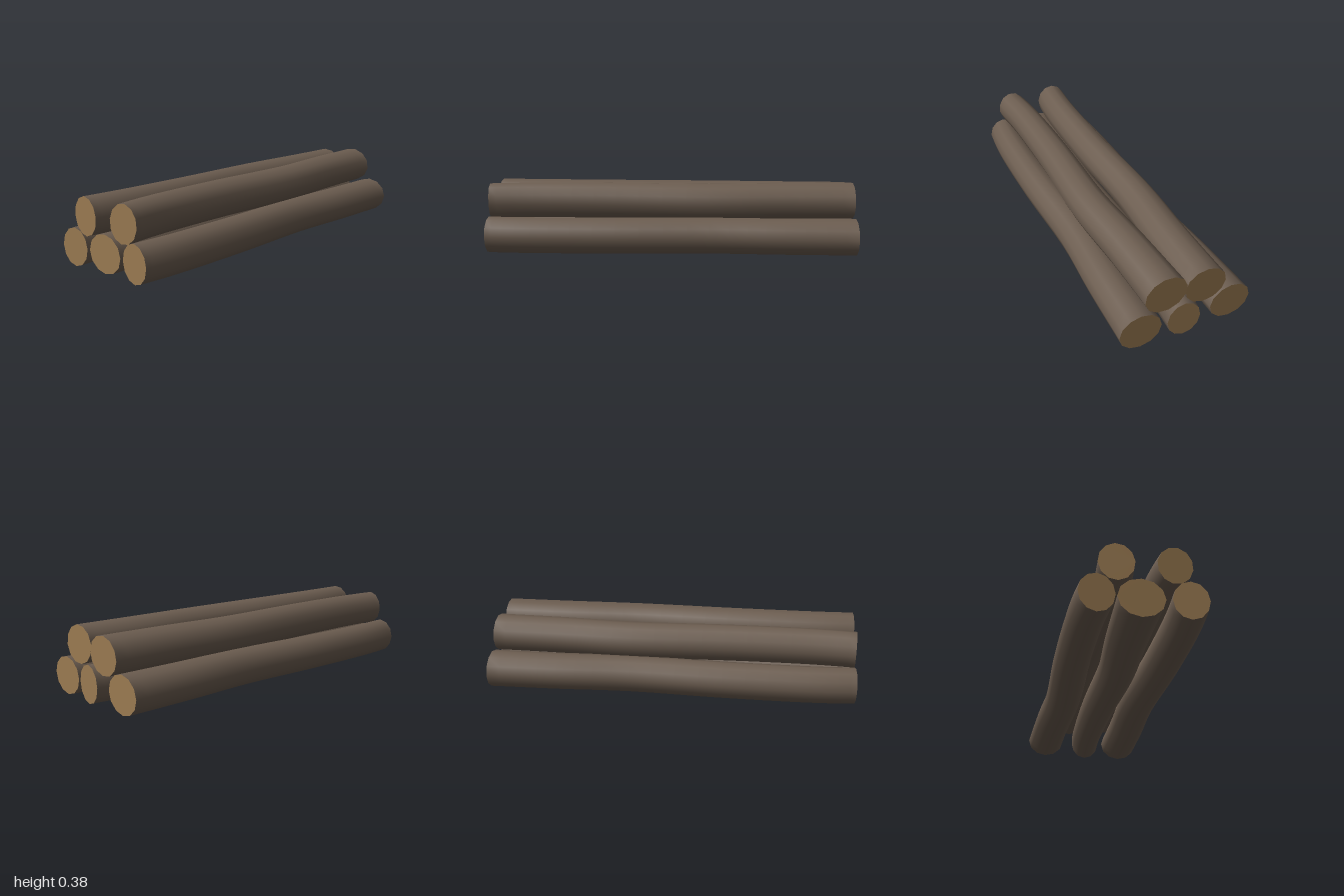
import * as THREE from 'three';

const SIDES = 12, RINGS = 20, HALF_HEIGHT = 0.0985;

const bark = new THREE.MeshStandardMaterial({ color: 0x6c5d50 });
bark.name = 'bark brown';
const cutWood = new THREE.MeshStandardMaterial({ color: 0x9b7b52 });
cutWood.name = 'cut wood tan';

// Sideways sway of a log along its length (x, z)
const sway = new THREE.SplineCurve([
  [-0.994, -0.015], [-0.75, 0.002], [-0.3, 0.003], [0.2, -0.013], [0.6, 0.006], [0.98, 0.015],
].map(([x, z]) => new THREE.Vector2(x, z)));

// Cross-sections square to the path, widening from one end to the other
function logRings(side) {
  const rings = [];
  for (let i = 0; i <= RINGS; i++) {
    const t = i / RINGS;
    const p = sway.getPoint(t);
    const dir = sway.getTangent(t);
    const slope = i === RINGS ? 0 : (dir.y / dir.x) * side;
    const width = THREE.MathUtils.lerp(0.086, 0.112, t);
    const ring = [];
    for (let j = 0; j < SIDES; j++) {
      const a = (j / SIDES) * Math.PI * 2;
      const w = Math.cos(a) * width;
      ring.push(new THREE.Vector3(p.x - slope * w, Math.sin(a) * HALF_HEIGHT, p.y * side + w));
    }
    rings.push(ring);
  }
  return rings;
}

function meshFrom(points, index, material, name) {
  const geometry = new THREE.BufferGeometry().setFromPoints(points);
  geometry.setIndex(index);
  geometry.computeVertexNormals();
  const mesh = new THREE.Mesh(geometry, material);
  mesh.name = name;
  return mesh;
}

// One log: smooth bark tube and two flat cut ends
function makeLog(name, side) {
  const log = new THREE.Group();
  log.name = name;
  const rings = logRings(side);
  const index = [];
  for (let i = 0; i < RINGS; i++) {
    for (let j = 0; j < SIDES; j++) {
      const k = (j + 1) % SIDES;
      const a = i * SIDES + j, b = a + SIDES, c = i * SIDES + k, d = c + SIDES;
      index.push(a, b, c, b, d, c);
    }
  }
  log.add(meshFrom(rings.flat(), index, bark, 'bark'));

  const fan = [], reversed = [];
  for (let j = 1; j < SIDES - 1; j++) {
    fan.push(0, j, j + 1);
    reversed.push(0, j + 1, j);
  }
  log.add(meshFrom(rings[0], fan, cutWood, 'narrowCutEnd'));
  log.add(meshFrom(rings[RINGS], reversed, cutWood, 'wideCutEnd'));
  return log;
}

export function createModel() {
  const model = new THREE.Group();
  model.name = 'logPile';
  const deg = Math.PI / 180;

  // name, sway side, y, z, rotation
  const logs = [
    ['bottomFrontLog', 1, HALF_HEIGHT, 0.23, [0, 0, 0]],
    ['bottomMiddleLog', 1, HALF_HEIGHT, 0.005, [0, Math.PI, 0]],
    ['bottomBackLog', -1, HALF_HEIGHT, -0.231, [0, 0, 0]],
    ['topFrontLog', -1, 0.277, 0.132, [9 * deg, 0, 0]],
    ['topBackLog', 1, 0.262, -0.111, [-4 * deg, 0, -0.006]],
  ];
  for (const [name, side, y, z, rotation] of logs) {
    const log = makeLog(name, side);
    log.position.set(0, y, z);
    log.rotation.set(...rotation);
    model.add(log);
  }
  return model;
}
